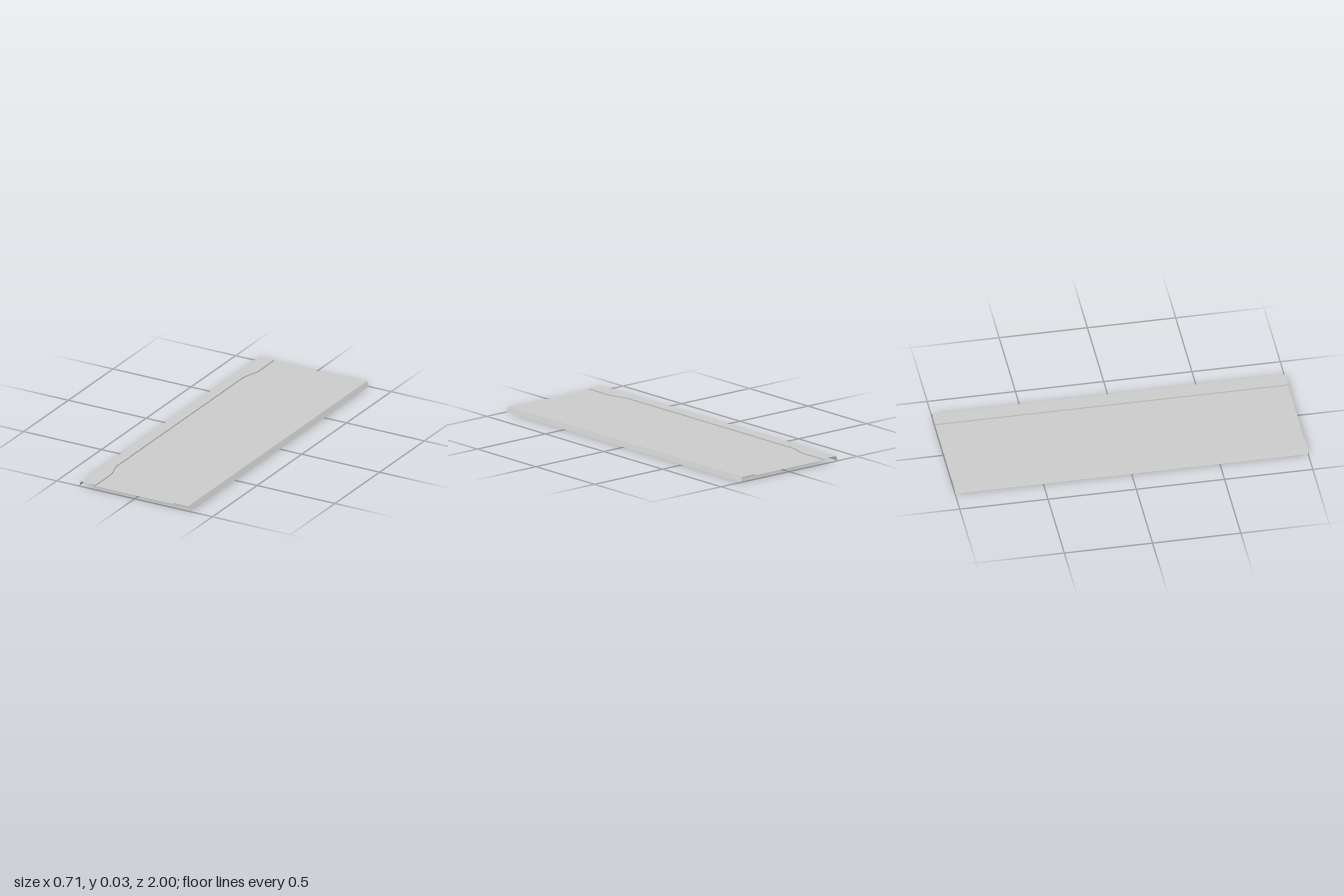
import * as THREE from 'three';

const HALF_LENGTH = 1;
const PAN_Y = 0.022, FLANGE_Y = 0.03;

// z stations: straight ends, a soft jog near each end, straight middle
const jog = Array.from({ length: 9 }, (_, i) => 0.70 + 0.13 * i / 8);
const stations = [-HALF_LENGTH, ...jog.map(z => -z).reverse(), ...jog, HALF_LENGTH];

// Left-hand step line bows outward along the middle of the sheet
const stepX = z => -0.282 + 0.03 * THREE.MathUtils.smoothstep(Math.abs(z), 0.70, 0.83);

// Folded cross-section from -x to +x; each fold gives x for a z, and its height
const folds = [
  [() => -0.357, 0],
  [() => -0.344, FLANGE_Y],
  [stepX, FLANGE_Y],
  [stepX, PAN_Y],
  [() => 0.25, PAN_Y],
  [() => 0.25, FLANGE_Y],
  [() => 0.344, FLANGE_Y],
  [() => 0.357, 0],
];
const names = ['rightLip', 'rightFlange', 'curvedStep', 'centrePan', 'straightStep', 'leftFlange', 'leftLip'];

// Ribbon of quads between two neighbouring folds, upper side facing out
function strip([xa, ya], [xb, yb]) {
  const position = [], index = [];
  stations.forEach((z, i) => {
    position.push(xa(z), ya, z, xb(z), yb, z);
    if (i === 0) return;
    const a0 = 2 * i - 2, b0 = a0 + 1, a1 = a0 + 2, b1 = a0 + 3;
    index.push(a0, a1, b1, a0, b1, b0);
  });
  const geometry = new THREE.BufferGeometry();
  geometry.setAttribute('position', new THREE.Float32BufferAttribute(position, 3));
  geometry.setIndex(index);
  geometry.computeVertexNormals();
  return geometry;
}

export function createModel() {
  const group = new THREE.Group();
  group.name = 'foldedSheetPanel';
  const material = new THREE.MeshStandardMaterial({ color: 0xcccccc, side: THREE.DoubleSide });
  names.forEach((name, i) => {
    const mesh = new THREE.Mesh(strip(folds[i], folds[i + 1]), material);
    mesh.name = name;
    group.add(mesh);
  });
  return group;
}
